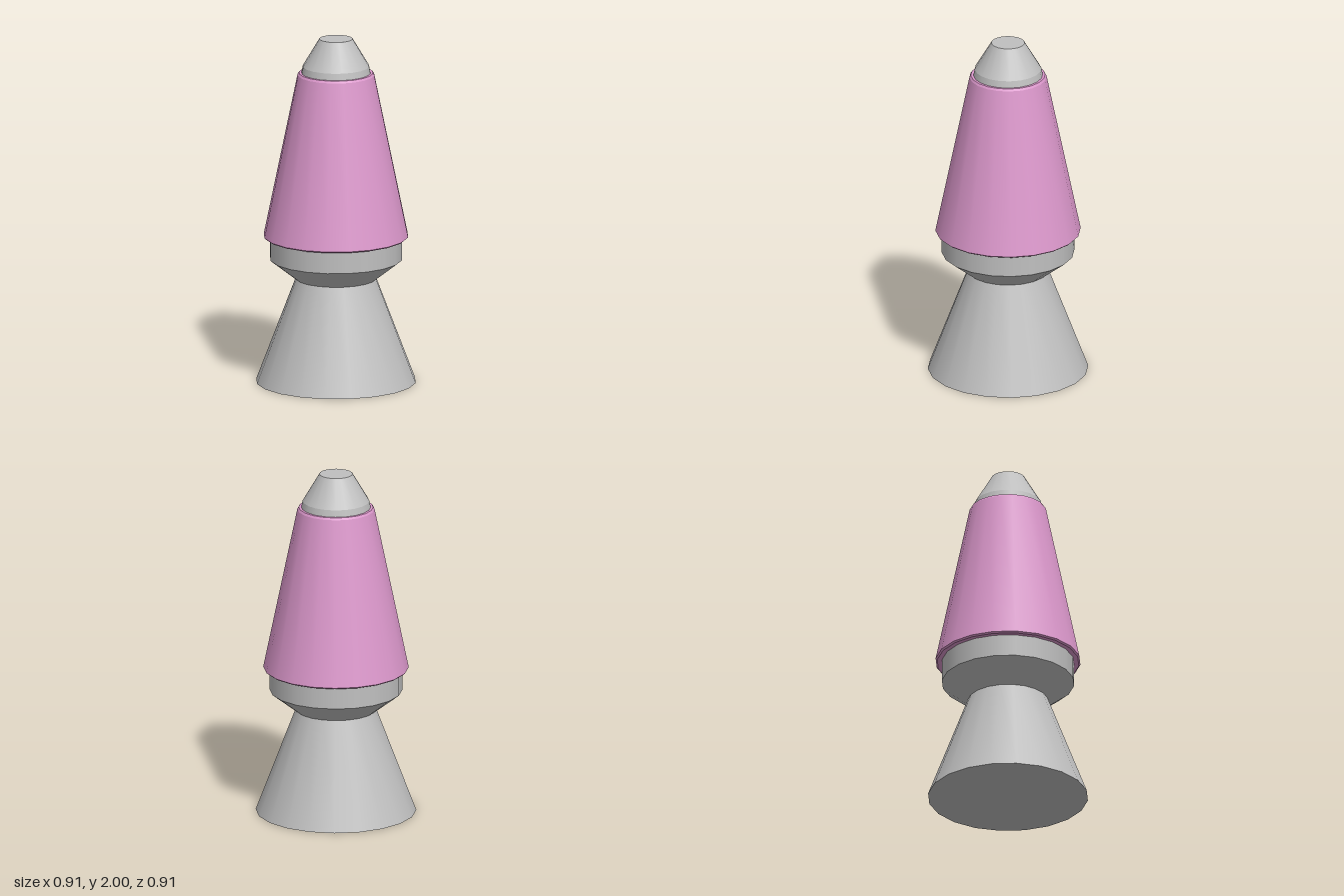
import * as THREE from 'three';
import { mergeGeometries } from 'three/addons/utils/BufferGeometryUtils.js';

const SIDES = 20;

// Turned part: each run of [radius, y] points is smooth, with a sharp edge between runs.
function turned(name, material, runs) {
  const bands = runs.map((run) =>
    new THREE.LatheGeometry(run.map(([r, y]) => new THREE.Vector2(r, y)), SIDES));
  const mesh = new THREE.Mesh(mergeGeometries(bands), material);
  mesh.name = name;
  return mesh;
}

export function createModel() {
  const metal = new THREE.MeshStandardMaterial({ color: 0xc0c0c0 });
  metal.name = 'silver metal';
  const glass = new THREE.MeshStandardMaterial({ color: 0xdc98cc });
  glass.name = 'pink glass';

  const model = new THREE.Group();
  model.name = 'lavaLamp';

  // Flared foot, pinched waist and the collar that holds the globe
  model.add(turned('base', metal, [
    [[0, 0], [0.457, 0]],
    [[0.457, 0], [0.23, 0.6]],
    [[0.23, 0.6], [0.378, 0.715]],
    [[0.378, 0.715], [0.378, 0.85]],
  ]));

  // Tapered globe with softened rims
  model.add(turned('globe', glass, [
    [[0.36, 0.842], [0.405, 0.842]],
    [[0.405, 0.842], [0.414, 0.85]],
    [[0.414, 0.85], [0.22, 1.79]],
    [[0.22, 1.79], [0.212, 1.802]],
    [[0.212, 1.802], [0.18, 1.802]],
  ]));

  // Cap with a short skirt and flat top
  model.add(turned('cap', metal, [
    [[0.199, 1.795], [0.19, 1.84]],
    [[0.19, 1.84], [0.095, 2]],
    [[0.095, 2], [0, 2]],
  ]));

  return model;
}
